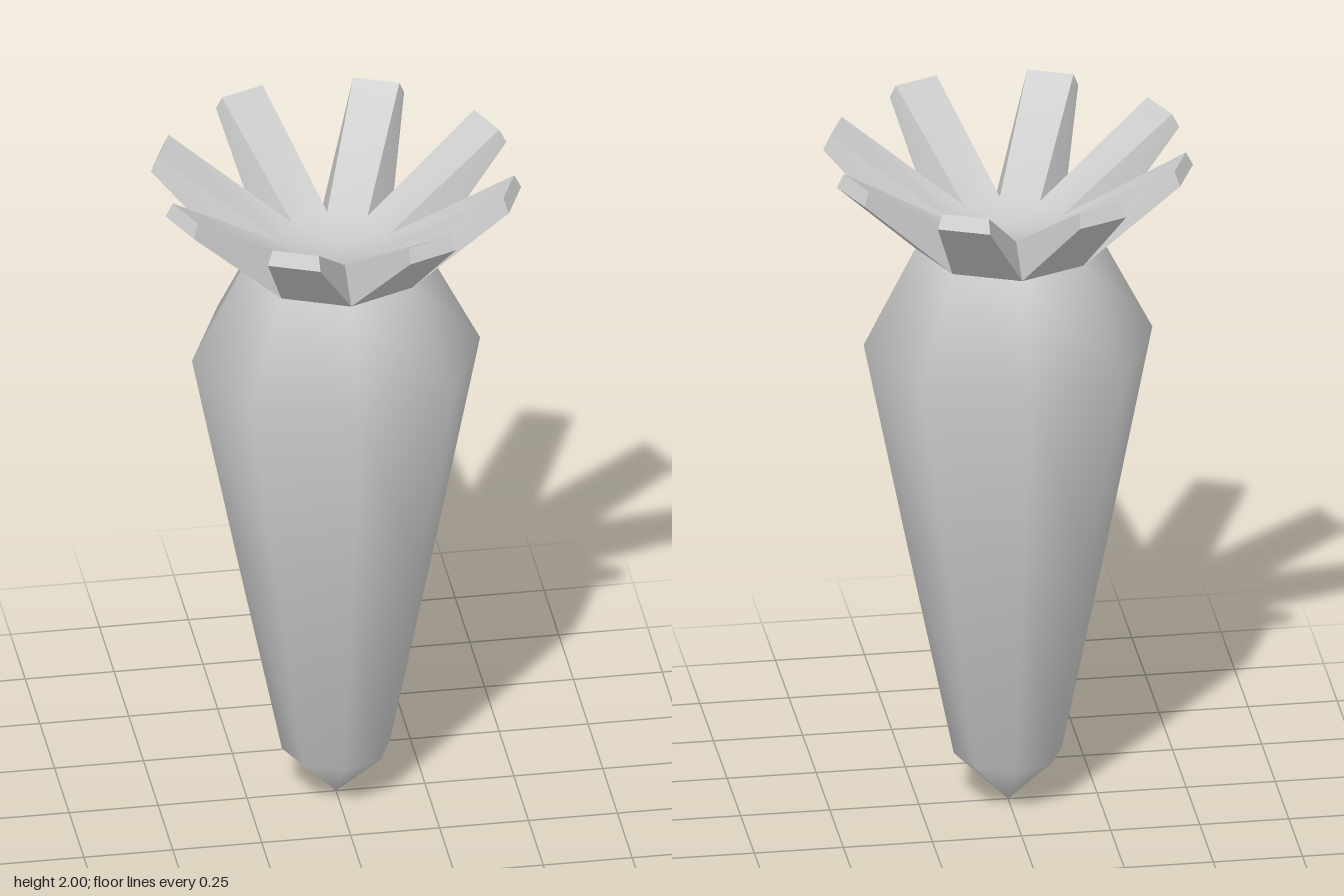
import * as THREE from 'three';
import { toCreasedNormals } from 'three/addons/utils/BufferGeometryUtils.js';

const SIDES = 8;
const material = new THREE.MeshStandardMaterial({ color: 0xcccccc });

// Eight-sided tapering root, open at the top where the leaves take over
function createRoot() {
  const profile = [[0, 0], [0.152, 0.15], [0.284, 0.8], [0.405, 1.415], [0.26, 1.7]]
    .map(([r, y]) => new THREE.Vector2(r, y));
  const root = new THREE.Mesh(new THREE.LatheGeometry(profile, SIDES), material);
  root.name = 'root';
  return root;
}

// Leaves grow out of each side of a shallow bowl sitting on the root
function createLeafCrown() {
  const positions = [];
  const quad = (a, b, c, d) => {
    for (const p of [a, b, c, a, c, d]) positions.push(...p);
  };
  const ring = (angle, r, y) => [r * Math.cos(angle), y, r * Math.sin(angle)];
  const step = (2 * Math.PI) / SIDES;
  const centre = [0, 1.75, 0];

  for (let i = 0; i < SIDES; i++) {
    const a = i * step, b = a + step, mid = a + step / 2;
    const tip = (r, side, y) => [
      r * Math.cos(mid) - side * Math.sin(mid), y,
      r * Math.sin(mid) + side * Math.cos(mid)];
    // Base corners (low and high), then tip corners (low and high)
    const low0 = ring(a, 0.26, 1.7), low1 = ring(b, 0.26, 1.7);
    const high0 = ring(a, 0.15, 1.77), high1 = ring(b, 0.15, 1.77);
    const tipLow0 = tip(0.51, -0.075, 1.96), tipLow1 = tip(0.51, 0.075, 1.96);
    const tipHigh0 = tip(0.492, -0.066, 2), tipHigh1 = tip(0.492, 0.066, 2);

    positions.push(...centre, ...high1, ...high0);   // bowl
    quad(high0, high1, tipHigh1, tipHigh0);          // upper face
    quad(low0, tipLow0, tipLow1, low1);              // underside
    quad(low0, high0, tipHigh0, tipLow0);            // side walls
    quad(low1, tipLow1, tipHigh1, high1);
    quad(tipLow0, tipHigh0, tipHigh1, tipLow1);      // end
  }

  const geometry = new THREE.BufferGeometry();
  geometry.setAttribute('position', new THREE.Float32BufferAttribute(positions, 3));
  const crown = new THREE.Mesh(toCreasedNormals(geometry, 0.85), material);
  crown.name = 'leafCrown';
  return crown;
}

export function createModel() {
  const model = new THREE.Group();
  model.name = 'carrot';
  model.add(createRoot(), createLeafCrown());
  return model;
}
